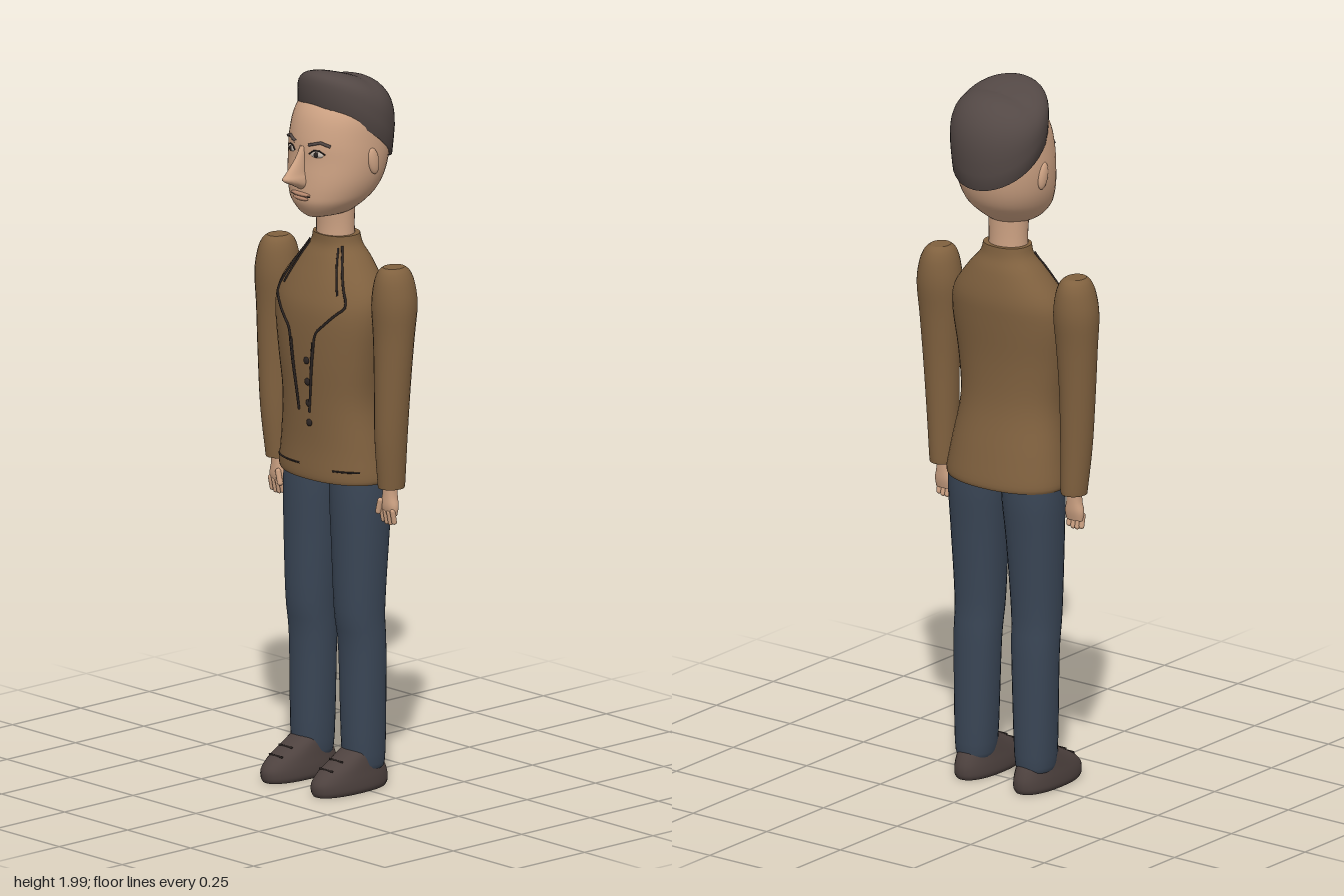
import * as THREE from 'three';

const mat = (name, color) => Object.assign(new THREE.MeshStandardMaterial({ color }), { name });
const M = {
  skin: mat('skin', 0xcda283),
  lip: mat('lips', 0xb4866c),
  hair: mat('hair', 0x534845),
  jacket: mat('jacket brown', 0x80613f),
  line: mat('dark trim', 0x2b2422),
  jeans: mat('denim', 0x3a4656),
  shoe: mat('shoe leather', 0x4e423f),
  white: mat('eye white', 0xc8bcb0),
};

// Smooth skin over rings of points listed bottom to top, with flat end caps
function skin(rings) {
  const n = rings[0].length, pos = [], idx = [];
  const add = (p) => pos.push(p.x, p.y, p.z) / 3 - 1;
  rings.forEach((r) => r.forEach(add));
  for (let i = 0; i < rings.length - 1; i++) {
    for (let j = 0; j < n; j++) {
      const a = i * n + j, b = i * n + (j + 1) % n;
      idx.push(a, a + n, b, a + n, b + n, b);
    }
  }
  [rings[0], rings[rings.length - 1]].forEach((ring, top) => {
    const c = new THREE.Vector3();
    ring.forEach((p) => c.addScaledVector(p, 1 / n));
    const ci = add(c), s = ring.map(add);
    for (let j = 0; j < n; j++) {
      const k = (j + 1) % n;
      if (top) idx.push(ci, s[k], s[j]); else idx.push(ci, s[j], s[k]);
    }
  });
  const g = new THREE.BufferGeometry();
  g.setAttribute('position', new THREE.Float32BufferAttribute(pos, 3));
  g.setIndex(idx);
  g.computeVertexNormals();
  return g;
}

// Sections are [y, centreX, halfWidth, frontZ, backZ]; refine adds spline steps
function refine(secs, steps = 4) {
  const out = [], at = (i) => secs[Math.max(0, Math.min(secs.length - 1, i))];
  for (let i = 0; i < secs.length - 1; i++) {
    for (let k = 0; k < steps; k++) {
      const t = k / steps;
      out.push(at(i).map((p1, c) => {
        const p0 = at(i - 1)[c], p2 = at(i + 1)[c], p3 = at(i + 2)[c];
        return p1 + 0.5 * t * (p2 - p0 + t * (2 * p0 - 5 * p1 + 4 * p2 - p3 + t * (3 * (p1 - p2) + p3 - p0)));
      }));
    }
  }
  out.push(at(secs.length - 1));
  return out;
}

function loft(secs, pow = 2, n = 32) {
  const f = (v) => Math.sign(v) * Math.abs(v) ** (2 / pow);
  return skin(refine(secs).map(([y, cx, rx, zf, zb]) => Array.from({ length: n }, (_, j) => {
    const a = (j / n) * Math.PI * 2;
    return new THREE.Vector3(cx + rx * f(Math.cos(a)), y, (zf + zb) / 2 + ((zf - zb) / 2) * f(Math.sin(a)));
  })));
}

// Front surface depth of a centred loft at x, y
function frontZ(secs, pow, x, y) {
  const r = refine(secs);
  const i = Math.max(1, r.findIndex((s) => s[0] >= y));
  const t = (y - r[i - 1][0]) / (r[i][0] - r[i - 1][0]);
  const [, , rx, zf, zb] = r[i].map((v, c) => THREE.MathUtils.lerp(r[i - 1][c], v, t));
  const k = Math.max(0, 1 - Math.min(1, Math.abs(x) / rx) ** pow) ** (1 / pow);
  return (zf + zb) / 2 + ((zf - zb) / 2) * k;
}

const TORSO = [
  [0.86, 0, 0.178, 0.1, -0.128], [0.88, 0, 0.182, 0.103, -0.13], [0.96, 0, 0.17, 0.1, -0.115],
  [1.08, 0, 0.153, 0.105, -0.092], [1.2, 0, 0.165, 0.113, -0.09], [1.32, 0, 0.181, 0.113, -0.1],
  [1.39, 0, 0.168, 0.095, -0.103], [1.46, 0, 0.115, 0.065, -0.09], [1.5, 0, 0.078, 0.045, -0.075],
  [1.53, 0, 0.068, 0.042, -0.07],
];
const HEAD = [
  [1.588, 0, 0.03, 0.085, -0.02], [1.6, 0, 0.063, 0.1, -0.055], [1.63, 0, 0.095, 0.118, -0.095],
  [1.66, 0, 0.113, 0.121, -0.125], [1.7, 0, 0.126, 0.119, -0.145], [1.75, 0, 0.132, 0.114, -0.157],
  [1.8, 0, 0.131, 0.112, -0.163], [1.86, 0, 0.124, 0.098, -0.155], [1.9, 0, 0.105, 0.074, -0.13],
  [1.93, 0, 0.07, 0.04, -0.09],
];

// Hair cap with a slanted rim and a raised front
function hairGeometry(n = 40, m = 12) {
  const rings = [];
  for (let k = -1; k <= m; k++) {
    const u = (Math.max(k, 0) / m) * Math.PI * 0.49;
    rings.push(Array.from({ length: n }, (_, j) => {
      const a = (j / n) * Math.PI * 2, c = Math.cos(a), s = Math.sin(a), w = (1 + s) / 2;
      const bulge = 1 + (0.04 + 0.16 * (1 - w)) * Math.sin(2 * u);
      const r = (k < 0 ? 0.9 : 1) * Math.cos(u) ** 0.8 * bulge;
      const rimY = 1.805 + (s > 0 ? 0.095 : 0.088) * s;
      const top = 1.962 + 0.045 * Math.max(0, s) * Math.min(1, r) + 0.08 * c * 0.134 * r;
      const h = Math.sin(u) ** THREE.MathUtils.lerp(0.85, 0.38, w);
      return new THREE.Vector3(0.134 * c * r, rimY + (top - rimY) * h, -0.05 + (s > 0 ? 0.128 : 0.113) * s * r);
    }));
  }
  return skin(rings);
}

export function createModel() {
  const root = new THREE.Group();
  const add = (name, geo, material, x = 0, y = 0, z = 0) => {
    const mesh = new THREE.Mesh(geo, material);
    mesh.name = name;
    mesh.position.set(x, y, z);
    root.add(mesh);
    return mesh;
  };
  const ball = (name, material, p, size) => {
    const b = add(name, new THREE.SphereGeometry(1, 20, 14), material, ...p);
    b.scale.set(...size);
    return b;
  };
  // Thin line laid over a lofted front
  const stroke = (name, material, secs, pow, pts, r) => {
    const path = new THREE.CurvePath(), v = pts.map(([x, y]) => new THREE.Vector3(x, y, 0));
    for (let i = 1; i < v.length; i++) path.add(new THREE.LineCurve3(v[i - 1], v[i]));
    const laid = path.getSpacedPoints(24).map((p) => p.setZ(frontZ(secs, pow, p.x, p.y) + r * 0.4));
    return add(name, new THREE.TubeGeometry(new THREE.CatmullRomCurve3(laid), 48, r, 6), material);
  };

  // Body and head
  add('jacket', loft(TORSO, 2.2, 40), M.jacket);
  add('neck', loft([[1.5, 0, 0.057, 0.04, -0.06], [1.56, 0, 0.056, 0.038, -0.058], [1.64, 0, 0.06, 0.045, -0.06]]), M.skin);
  add('head', loft(HEAD, 2.1, 40), M.skin);
  add('hair', hairGeometry(), M.hair);

  // Nose, lips and chin
  add('nose', loft([
    [1.672, 0, 0.012, 0.122, 0.1], [1.686, 0, 0.021, 0.148, 0.09], [1.703, 0, 0.021, 0.181, 0.08],
    [1.72, 0, 0.016, 0.17, 0.09], [1.755, 0, 0.011, 0.138, 0.09], [1.79, 0, 0.01, 0.116, 0.09],
  ], 2, 20), M.skin);
  ball('upperLip', M.lip, [0, 1.658, 0.116], [0.036, 0.007, 0.012]);
  ball('lowerLip', M.lip, [0, 1.646, 0.115], [0.03, 0.007, 0.011]);
  stroke('mouthLine', M.line, HEAD, 2.1, [[-0.036, 1.653], [0.036, 1.653]], 0.0015);

  for (const s of [1, -1]) {
    const side = s > 0 ? 'left' : 'right';

    // Eye, brow and ear
    const ez = frontZ(HEAD, 2.1, 0.05, 1.773);
    const turn = s * 0.3;
    ball(side + 'EyeWhite', M.white, [s * 0.05, 1.773, ez - 0.001], [0.02, 0.009, 0.005]).rotation.y = turn;
    ball(side + 'Iris', M.line, [s * 0.05, 1.773, ez + 0.002], [0.008, 0.008, 0.004]).rotation.y = turn;
    stroke(side + 'UpperLid', M.line, HEAD, 2.1, [[s * 0.028, 1.772], [s * 0.042, 1.784], [s * 0.058, 1.784], [s * 0.073, 1.774]], 0.002);
    stroke(side + 'Brow', M.hair, HEAD, 2.1, [[s * 0.026, 1.797], [s * 0.06, 1.807], [s * 0.084, 1.798]], 0.0045);
    ball(side + 'Ear', M.skin, [s * 0.131, 1.748, -0.028], [0.011, 0.038, 0.018]).rotation.x = 0.2;

    // Lapel edges
    stroke(side + 'LapelEdge', M.line, TORSO, 2.2,
      [[s * 0.062, 1.505], [s * 0.137, 1.36], [s * 0.05, 1.275], [s * 0.02, 1.05]], 0.0035);
    stroke(side + 'LapelFold', M.line, TORSO, 2.2, [[s * 0.055, 1.5], [s * 0.105, 1.385]], 0.003);
    stroke(side + 'LapelInnerEdge', M.line, TORSO, 2.2, [[s * 0.042, 1.25], [s * 0.02, 1.05]], 0.003);
    stroke(side + 'Pocket', M.line, TORSO, 2.2, s > 0 ? [[0.095, 0.897], [0.16, 0.897]] : [[-0.15, 0.897], [-0.02, 0.901]], 0.0025);

    // Sleeve with a full shoulder
    add(side + 'Sleeve', loft([
      [0.862, s * 0.223, 0.034, 0.028, -0.045], [0.875, s * 0.223, 0.036, 0.03, -0.048],
      [1.0, s * 0.227, 0.043, 0.042, -0.05], [1.15, s * 0.231, 0.05, 0.044, -0.055],
      [1.28, s * 0.232, 0.058, 0.045, -0.064], [1.37, s * 0.232, 0.063, 0.05, -0.074],
      [1.43, s * 0.231, 0.054, 0.045, -0.07], [1.463, s * 0.23, 0.041, 0.034, -0.058],
      [1.476, s * 0.23, 0.027, 0.02, -0.043],
    ], 2, 24), M.jacket);

    // Hand with fingers
    add(side + 'Palm', loft([
      [0.785, s * 0.221, 0.026, 0.006, -0.016], [0.81, s * 0.221, 0.029, 0.012, -0.022],
      [0.84, s * 0.221, 0.022, 0.012, -0.024], [0.88, s * 0.222, 0.02, 0.012, -0.026],
    ], 2.3, 20), M.skin);
    for (let i = 0; i < 4; i++) {
      const f = add(side + 'Finger' + (i + 1), new THREE.CapsuleGeometry(0.0075, 0.03, 4, 10), M.skin,
        s * (0.2 + i * 0.014), 0.783 - (i % 3 ? 0.004 : 0), 0.001);
      f.rotation.x = 0.2;
    }
    const thumb = add(side + 'Thumb', new THREE.CapsuleGeometry(0.008, 0.032, 4, 10), M.skin, s * 0.199, 0.808, 0.013);
    thumb.rotation.z = -s * 0.25;

    // Trouser leg
    add(side + 'TrouserLeg', loft([
      [0.055, s * 0.102, 0.044, 0.022, -0.068], [0.1, s * 0.101, 0.055, 0.04, -0.079],
      [0.38, s * 0.098, 0.064, 0.044, -0.08], [0.5, s * 0.096, 0.067, 0.058, -0.077],
      [0.7, s * 0.094, 0.077, 0.063, -0.09], [0.82, s * 0.091, 0.084, 0.064, -0.1],
      [0.9, s * 0.088, 0.084, 0.06, -0.1],
    ], 2.2, 28), M.jeans);

    // Shoe and laces
    add(side + 'Shoe', loft([
      [0, s * 0.1, 0.049, 0.152, -0.088], [0.012, s * 0.1, 0.055, 0.158, -0.094],
      [0.035, s * 0.1, 0.055, 0.157, -0.094], [0.06, s * 0.1, 0.052, 0.135, -0.085],
      [0.085, s * 0.1, 0.049, 0.092, -0.07], [0.105, s * 0.1, 0.046, 0.055, -0.06],
      [0.12, s * 0.1, 0.04, 0.03, -0.05],
    ], 2.3, 28), M.shoe);
    [[0.07, 0.116], [0.09, 0.08]].forEach(([y, z], i) => {
      const lace = add(side + 'Lace' + (i + 1), new THREE.CapsuleGeometry(0.003, 0.048, 3, 8), M.line, s * 0.1, y, z);
      lace.rotation.z = Math.PI / 2;
    });
  }

  // Jacket buttons
  [1.195, 1.135, 1.075, 1.02].forEach((y, i) => {
    ball('button' + (i + 1), M.line, [0.018, y, frontZ(TORSO, 2.2, 0.018, y) + 0.001], [0.01, 0.01, 0.005]);
  });
  return root;
}
